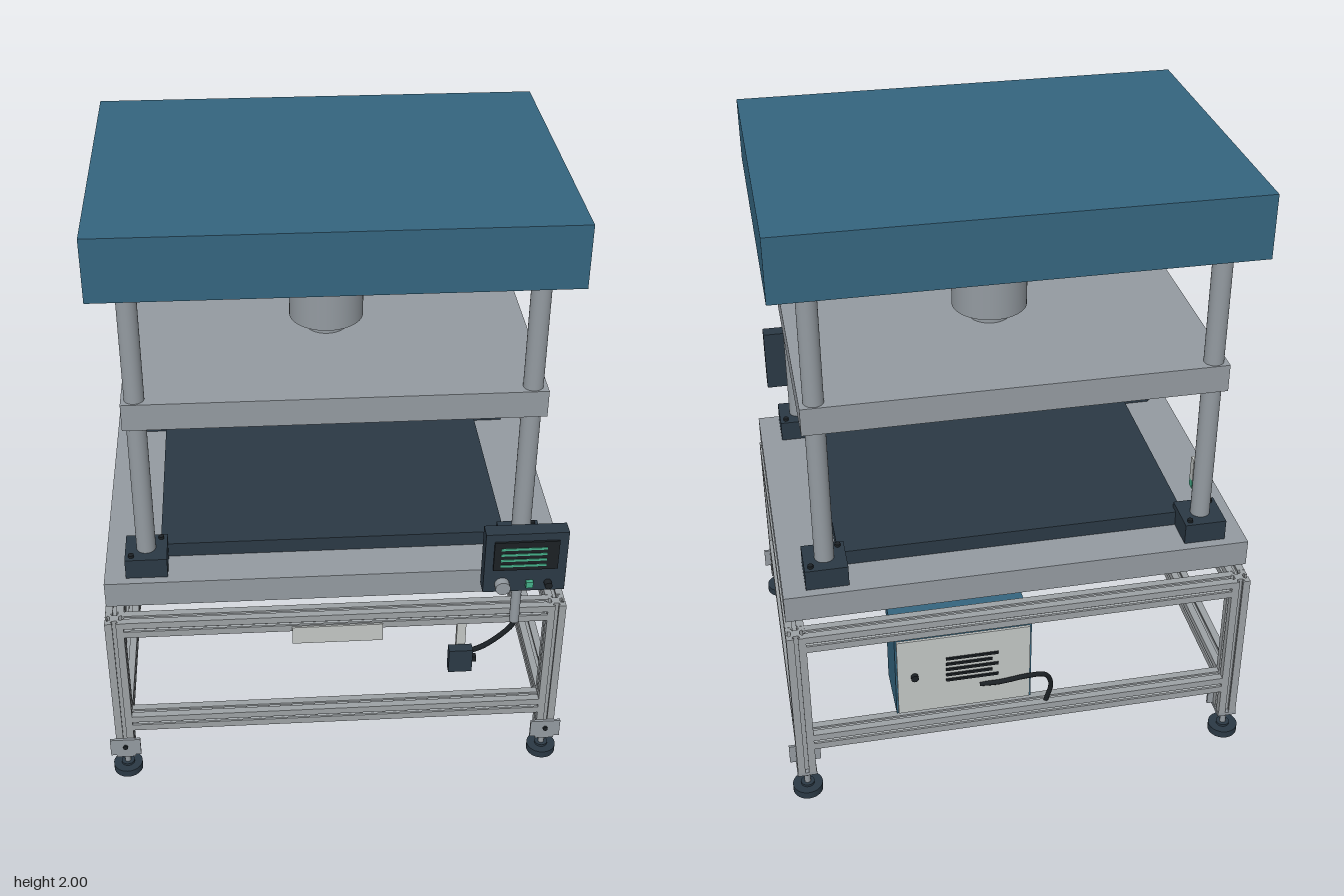
import * as THREE from 'three';

const mat = (name, color) => {
  const m = new THREE.MeshStandardMaterial({ color });
  m.name = name;
  return m;
};

export function createModel() {
  const blue = mat('painted blue', 0x35657f);
  const steel = mat('steel grey', 0x949ba1);
  const alu = mat('aluminium', 0x9da2a5);
  const dark = mat('dark slate', 0x2b3945);
  const black = mat('black', 0x1b2024);
  const light = mat('light panel', 0xc3c7c5);
  const green = mat('green', 0x45b08a);

  const model = new THREE.Group();
  model.name = 'hydraulicPress';
  const group = (name) => {
    const g = new THREE.Group();
    g.name = name;
    model.add(g);
    return g;
  };
  const put = (parent, name, geo, m, x = 0, y = 0, z = 0) => {
    const mesh = new THREE.Mesh(geo, m);
    mesh.name = name;
    mesh.position.set(x, y, z);
    parent.add(mesh);
    return mesh;
  };
  // box given by its limits on each axis
  const box = (parent, name, m, [x0, x1], [y0, y1], [z0, z1]) =>
    put(parent, name, new THREE.BoxGeometry(x1 - x0, y1 - y0, z1 - z0), m,
      (x0 + x1) / 2, (y0 + y1) / 2, (z0 + z1) / 2);
  // upright cylinder between two heights
  const rod = (parent, name, m, r, y0, y1, x, z, sides = 32) =>
    put(parent, name, new THREE.CylinderGeometry(r, r, y1 - y0, sides), m, x, (y0 + y1) / 2, z);
  // short cylinder facing along z
  const knob = (parent, name, m, r, x, y, z0, z1) => {
    const k = put(parent, name, new THREE.CylinderGeometry(r, r, z1 - z0, 24), m, x, y, (z0 + z1) / 2);
    k.rotation.x = Math.PI / 2;
    return k;
  };
  const cable = (parent, name, pts, r, m = black) =>
    put(parent, name, new THREE.TubeGeometry(
      new THREE.CatmullRomCurve3(pts.map((p) => new THREE.Vector3(...p))), 40, r, 10), m);

  const cx = -0.004, cz = -0.064;

  // Press: crown, cylinder, ram, moving platen and bed
  const press = group('press');
  box(press, 'crown', blue, [-0.72, 0.715], [1.8, 2], [-0.587, 0.456]);
  rod(press, 'hydraulicCylinder', steel, 0.12, 1.465, 1.8, cx, cz, 48);
  rod(press, 'ram', steel, 0.066, 1.425, 1.465, cx, cz, 40);
  box(press, 'movingPlaten', steel, [-0.65, 0.645], [1.335, 1.425], [-0.529, 0.401]);
  box(press, 'bed', steel, [-0.745, 0.74], [0.705, 0.795], [-0.59, 0.46]);
  box(press, 'lowerPlaten', dark, [-0.565, 0.555], [0.795, 0.845], [-0.455, 0.325]);

  // Guide columns with base blocks and nuts
  for (const x of [-0.609, 0.601]) {
    for (const z of [0.365, -0.493]) {
      rod(press, 'guideColumn', steel, 0.031, 0.67, 1.8, x, z);
      rod(press, 'columnNut', steel, 0.036, 0.668, 0.705, x, z, 24);
      box(press, 'columnBlock', dark, [x - 0.067, x + 0.067], [0.795, 0.865], [z - 0.067, z + 0.067]);
      for (const s of [-1, 1]) rod(press, 'blockBolt', black, 0.009, 0.865, 0.874, x + s * 0.047, z - s * 0.047, 12);
    }
  }

  // Frame from slotted profile bars
  const frame = group('frame');
  const h = 0.03, lip = 0.007, slot = 0.006, wide = 0.013, deep = 0.018;
  const side = [[-h, h], [-slot, h], [-slot, h - lip], [-wide, h - lip], [-wide + 0.005, deep - 0.004],
    [wide - 0.005, deep - 0.004], [wide, h - lip], [slot, h - lip], [slot, h]];
  const profile = [];
  for (let i = 0; i < 4; i++) {
    const c = Math.round(Math.cos(i * Math.PI / 2)), s = Math.round(Math.sin(i * Math.PI / 2));
    for (const [a, b] of side) profile.push(new THREE.Vector2(a * c + b * s, b * c - a * s));
  }
  const bar = (name, axis, length, x, y, z) => {
    const geo = new THREE.ExtrudeGeometry(new THREE.Shape(profile), { depth: length, bevelEnabled: false });
    geo.translate(0, 0, -length / 2);
    if (axis === 'x') geo.rotateY(Math.PI / 2);
    if (axis === 'y') geo.rotateX(Math.PI / 2);
    put(frame, name, geo, alu, x, y, z);
  };
  const px = 0.718, pz = 0.536;
  for (const s of [-1, 1]) {
    for (const t of [-1, 1]) bar('post', 'y', 0.567, cx + s * px, 0.3815, cz + t * pz);
    for (const y of [0.636, 0.228]) {
      bar('longRail', 'x', 2 * (px - h), cx, y, cz + s * pz);
      bar('sideRail', 'z', 2 * (pz - h), cx + s * px, y, cz);
    }
  }

  // Levelling feet with brackets
  for (const x of [cx - px, cx + px]) {
    for (const z of [cz - pz, cz + pz]) {
      const foot = group('levellingFoot');
      const f = z + h;
      box(foot, 'footBracket', steel, [x - 0.051, x + 0.051], [0.095, 0.163], [f, f + 0.009]);
      box(foot, 'footBase', steel, [x - 0.032, x + 0.032], [0.086, 0.098], [z - h, f + 0.009]);
      knob(foot, 'bracketBolt', black, 0.008, x, 0.132, f + 0.009, f + 0.016);
      rod(foot, 'footStem', steel, 0.01, 0.025, 0.09, x, z, 16);
      rod(foot, 'footNut', steel, 0.019, 0.072, 0.086, x, z, 6);
      rod(foot, 'footCollar', dark, 0.022, 0.024, 0.034, x, z, 24);
      rod(foot, 'footPad', dark, 0.049, 0, 0.026, x, z, 32);
    }
  }

  // Control cabinet hung at the back
  const cabinet = group('controlCabinet');
  box(cabinet, 'cabinetBody', blue, [-0.03, 0.412], [0.3, 0.605], [-0.626, -0.435]);
  box(cabinet, 'cabinetDoor', light, [-0.024, 0.406], [0.306, 0.599], [-0.634, -0.626]);
  for (let i = 0; i < 5; i++)
    box(cabinet, 'louvre', black, [0.08 + (i % 2) * 0.02, 0.25], [0.42 + i * 0.022, 0.428 + i * 0.022], [-0.64, -0.634]);
  knob(cabinet, 'doorLock', black, 0.012, 0.352, 0.455, -0.648, -0.634);
  cable(cabinet, 'powerCable', [[0.14, 0.385, -0.632], [0.08, 0.39, -0.641], [-0.02, 0.4, -0.641], [-0.075, 0.39, -0.635],
    [-0.098, 0.34, -0.625], [-0.085, 0.25, -0.61]], 0.008);

  // Label plate on the front rail
  box(model, 'frontPlate', light, [-0.15, 0.145], [0.558, 0.625], [0.502, 0.508]);

  // Junction box under the front rail
  const junction = group('junctionBox');
  box(junction, 'junctionHanger', light, [0.392, 0.422], [0.46, 0.61], [0.465, 0.485]);
  box(junction, 'junctionCase', dark, [0.365, 0.443], [0.415, 0.505], [0.485, 0.519]);
  box(junction, 'junctionPlug', black, [0.443, 0.457], [0.45, 0.47], [0.493, 0.511]);
  cable(junction, 'pendantCable', [[0.43, 0.488, 0.502], [0.48, 0.51, 0.502], [0.54, 0.565, 0.507],
    [0.568, 0.61, 0.514], [0.572, 0.66, 0.519]], 0.009);

  // Operator pendant on its arm
  const pendant = group('pendant');
  rod(pendant, 'pendantArm', steel, 0.016, 0.63, 0.918, 0.57, 0.52, 20);
  box(pendant, 'pendantCase', dark, [0.438, 0.693], [0.845, 1.065], [0.585, 0.634]);
  box(pendant, 'screen', black, [0.465, 0.665], [0.932, 1.038], [0.634, 0.641]);
  for (let i = 0; i < 4; i++) {
    const y = 0.95 + i * 0.021;
    box(pendant, 'screenLine', green, [0.486, 0.628], [y - 0.004, y + 0.004], [0.641, 0.643]);
  }
  knob(pendant, 'dial', steel, 0.023, 0.496, 0.876, 0.634, 0.661);
  box(pendant, 'startButton', green, [0.57, 0.592], [0.865, 0.887], [0.634, 0.648]);
  knob(pendant, 'stopButton', black, 0.012, 0.639, 0.876, 0.634, 0.656);

  // Position sensor on a rear column
  const sensor = group('positionSensor');
  box(sensor, 'sensorBody', light, [-0.633, -0.585], [0.965, 1.045], [-0.465, -0.438]);
  box(sensor, 'sensorLamp', green, [-0.633, -0.585], [0.938, 0.965], [-0.465, -0.438]);

  return model;
}
